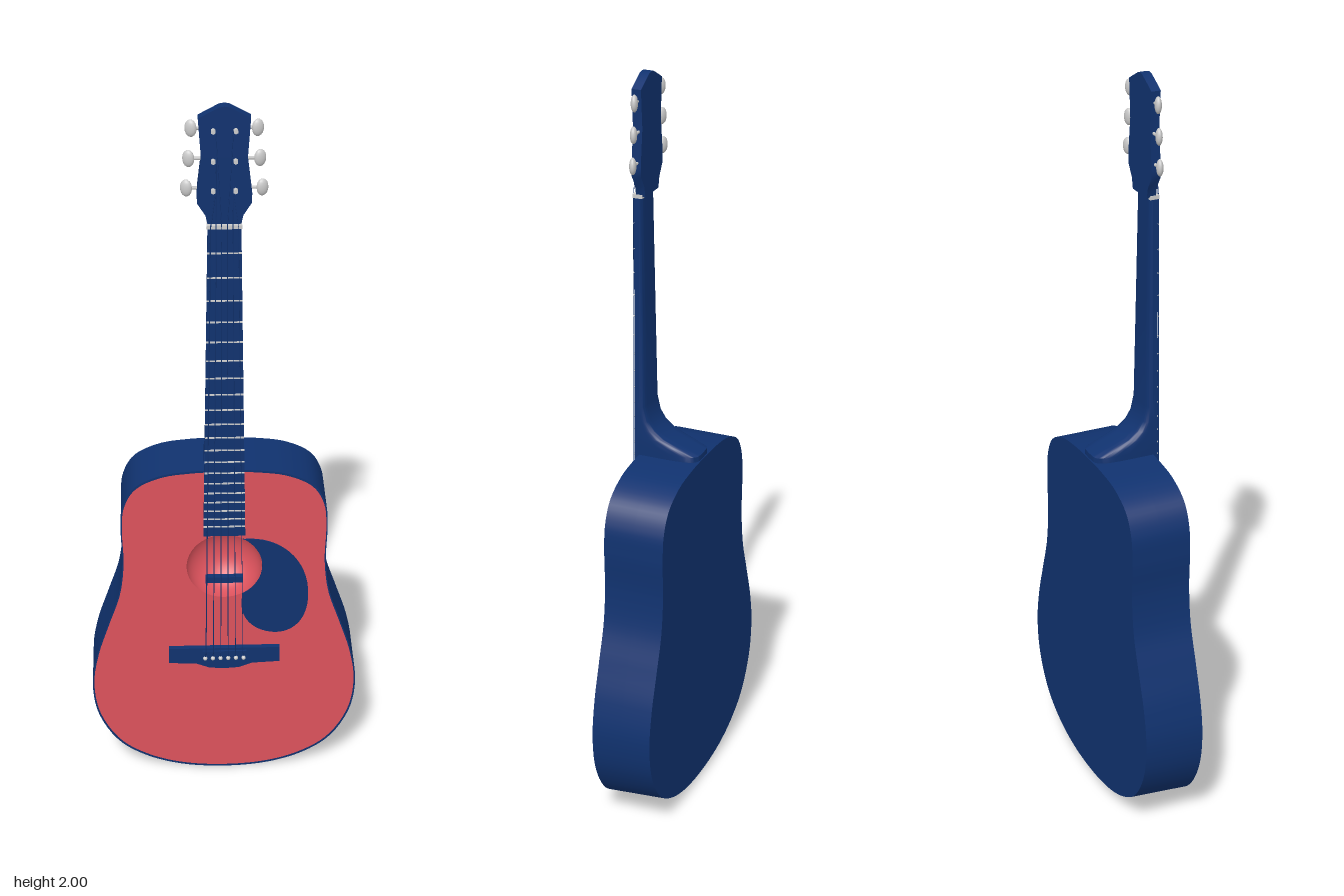
import * as THREE from 'three';
import { toCreasedNormals } from 'three/addons/utils/BufferGeometryUtils.js';
import { ParametricGeometry } from 'three/addons/geometries/ParametricGeometry.js';

const navy = new THREE.MeshStandardMaterial({ color: 0x10326f, side: THREE.DoubleSide });
const red = new THREE.MeshStandardMaterial({ color: 0xdc525c, side: THREE.DoubleSide });
const grey = new THREE.MeshStandardMaterial({ color: 0xcccccc });

const V2 = (x, y) => new THREE.Vector2(x, y);
const V3 = (x, y, z) => new THREE.Vector3(x, y, z);

export function createModel() {
  const guitar = new THREE.Group();
  guitar.name = 'acousticGuitar';

  const add = (name, geometry, material, x = 0, y = 0, z = 0) => {
    const mesh = new THREE.Mesh(geometry, material);
    mesh.name = name;
    mesh.position.set(x, y, z);
    guitar.add(mesh);
    return mesh;
  };
  const plate = (name, points, z, depth, material = navy) => add(name, toCreasedNormals(
    new THREE.ExtrudeGeometry(new THREE.Shape(points), { depth, bevelEnabled: false }), 0.6), material, 0, 0, z);
  const mirrored = (half) => [...half, ...half.filter(([x]) => x > 0).reverse().map(([x, y]) => [-x, y])]
    .map(([x, y]) => V2(x, y));
  const rod = (name, a, b, radius, material) => {
    const mesh = add(name, new THREE.CylinderGeometry(radius, radius, a.distanceTo(b), 6), material);
    mesh.position.copy(a).add(b).multiplyScalar(0.5);
    mesh.quaternion.setFromUnitVectors(V3(0, 1, 0), b.clone().sub(a).normalize());
  };

  // Body outline, running anticlockwise from the bottom centre
  const half = [[0, 0.004], [0.12, 0.015], [0.215, 0.047], [0.29, 0.1], [0.345, 0.195], [0.36, 0.3],
    [0.345, 0.4], [0.314, 0.5], [0.282, 0.6], [0.27, 0.7], [0.272, 0.81], [0.265, 0.88],
    [0.235, 0.935], [0.17, 0.97], [0.09, 0.983], [0, 0.986]];
  const curve = new THREE.CatmullRomCurve3(mirrored(half).map((p) => V3(p.x, p.y, 0)), true);
  const outline = curve.getPoints(144).slice(0, -1);
  const frontZ = 0.07, backZ = -0.093;
  const liftBack = (y, t) => y + 0.016 * t * Math.max(0, 1 - y / 0.5);

  // Side wall: the lower end leans in towards the back
  add('bodySides', new ParametricGeometry((u, v, target) => {
    const p = curve.getPoint(u % 1);
    target.set(p.x, liftBack(p.y, 1 - v), THREE.MathUtils.lerp(backZ, frontZ, v));
  }, 144, 2), navy);

  // Back panel
  const back = new THREE.ShapeGeometry(new THREE.Shape(outline.map((p) => V2(-p.x, liftBack(p.y, 1)))));
  add('backPanel', back.rotateY(Math.PI), navy, 0, 0, backZ);

  // Soundboard with sound hole, edged by a narrow binding
  const inset = outline.map((p) => V2(p.x * 0.988, 0.5 + (p.y - 0.5) * 0.988));
  const binding = new THREE.Shape(outline.map((p) => V2(p.x, p.y)));
  binding.holes.push(new THREE.Path(inset));
  add('binding', new THREE.ShapeGeometry(binding), navy, 0, 0, frontZ);
  const board = new THREE.Shape(inset);
  board.holes.push(new THREE.Path().absarc(0, 0.685, 0.1, 0, Math.PI * 2, true));
  add('soundboard', new THREE.ShapeGeometry(board, 24), red, 0, 0, frontZ);

  // Hollow behind the sound hole, and the bar across it
  const hollow = new THREE.SphereGeometry(0.1, 48, 16, 0, Math.PI * 2, Math.PI / 2, Math.PI / 2);
  add('soundHole', hollow.rotateX(Math.PI / 2).scale(1, 1, 0.9), red, 0, 0.685, frontZ);
  add('soundHoleBar', new THREE.BoxGeometry(0.1, 0.018, 0.016), navy, 0, 0.641, 0.064);

  // Pickguard, hugging the right edge of the hole
  const guard = new THREE.Shape();
  guard.moveTo(0.05, 0.771);
  guard.bezierCurveTo(0.15, 0.78, 0.225, 0.7, 0.225, 0.59);
  guard.bezierCurveTo(0.225, 0.5, 0.18, 0.468, 0.14, 0.468);
  guard.bezierCurveTo(0.09, 0.468, 0.03, 0.51, 0.05, 0.597);
  guard.absarc(0, 0.685, 0.101, -1.06, 1.05, false);
  add('pickguard', new THREE.ExtrudeGeometry(guard, { depth: 0.003, bevelEnabled: false, curveSegments: 16 }),
    navy, 0, 0, frontZ);

  // Bridge with a bellied lower edge, saddle
  plate('bridge', mirrored([[0, 0.357], [0.04, 0.36], [0.075, 0.374], [0.15, 0.378], [0.15, 0.425], [0, 0.425]]),
    frontZ, 0.014);
  add('saddle', new THREE.BoxGeometry(0.12, 0.006, 0.006), navy, 0, 0.415, 0.086);

  // Neck and heel: rounded-box sections of [height, half width, back z]
  const sections = [[0.97, 0.052, -0.091], [1.0, 0.052, -0.09], [1.017, 0.052, -0.045], [1.035, 0.052, 0.0],
    [1.055, 0.051, 0.028], [1.08, 0.051, 0.046], [1.12, 0.05, 0.056], [1.4, 0.045, 0.06], [1.69, 0.04, 0.064]];
  const soft = (v) => Math.sign(v) * Math.abs(v) ** 0.4;
  add('neck', toCreasedNormals(new ParametricGeometry((u, v, target) => {
    const [y, w, z] = sections[Math.round(v * (sections.length - 1))];
    const a = Math.PI * u;
    target.set(w * soft(Math.cos(a)), y, 0.076 + (z - 0.076) * soft(Math.max(0, Math.sin(a))));
  }, 24, sections.length - 1), 0.7), navy);

  // Fingerboard, nut and frets
  const nutY = 1.69, scale = 1.27, fretZ = 0.083;
  const halfWidth = (y) => THREE.MathUtils.mapLinear(y, 0.79, nutY, 0.055, 0.041);
  plate('fingerboard', mirrored([[halfWidth(0.79), 0.79], [halfWidth(nutY), nutY]]), 0.07, fretZ - 0.07);
  add('nut', new THREE.BoxGeometry(0.086, 0.01, 0.026), grey, 0, nutY, 0.074);
  for (let i = 1; i <= 20; i++) {
    const y = nutY - scale * (1 - 2 ** (-i / 12));
    add('fret', new THREE.BoxGeometry(2 * halfWidth(y), 0.004, 0.003), grey, 0, y, fretZ);
  }

  // Headstock
  plate('headstock', mirrored([[0.04, 1.69], [0.046, 1.718], [0.066, 1.75], [0.067, 1.775], [0.056, 1.87],
    [0.063, 1.97], [0.04, 1.983], [0.012, 1.998], [0, 2.0]]), 0.053, 0.025);

  // Tuners: front post, side shaft and oval button
  const tunerY = [1.785, 1.862, 1.94];
  const tunerX = [0.092, 0.086, 0.08];
  for (const side of [-1, 1]) {
    tunerY.forEach((y, i) => {
      rod('tunerPost', V3(side * 0.027, y, 0.07), V3(side * 0.027, y, 0.09), 0.006, grey);
      rod('tunerShaft', V3(side * 0.045, y, 0.063), V3(side * tunerX[i], y, 0.063), 0.004, grey);
      const button = add('tunerButton', new THREE.SphereGeometry(1, 16, 10), grey, side * tunerX[i], y, 0.063);
      button.scale.set(0.015, 0.022, 0.009);
      button.rotation.y = side * 0.3;
    });
  }

  // Strings from bridge pin over saddle and nut to tuner post
  for (let i = 0; i < 6; i++) {
    const t = i / 2.5 - 1;
    const side = Math.sign(t);
    const post = i < 3 ? i : 5 - i;
    const path = [V3(0.052 * t, 0.393, 0.084), V3(0.05 * t, 0.415, 0.09), V3(0.034 * t, nutY, 0.088),
      V3(side * 0.021, tunerY[post], 0.085)];
    for (let k = 0; k < 3; k++) rod('string', path[k], path[k + 1], 0.0016 - 0.00016 * i, navy);
    add('bridgePin', new THREE.SphereGeometry(0.006, 10, 8), grey, 0.052 * t, 0.393, 0.086);
  }

  return guitar;
}
